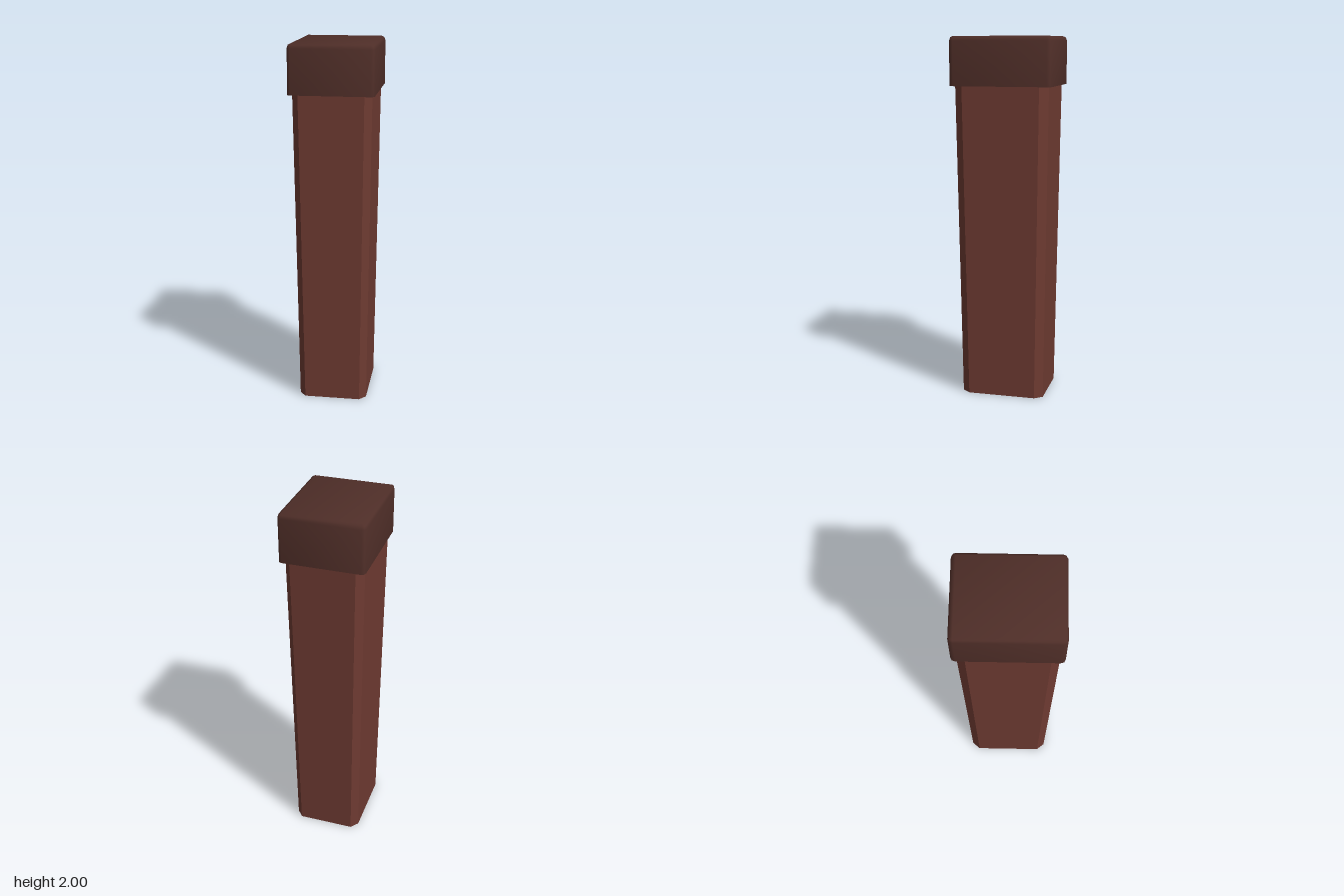
import * as THREE from 'three';
import { toCreasedNormals } from 'three/addons/utils/BufferGeometryUtils.js';

// Rectangle outline with cut or rounded corners: n segments per corner, corner scaled by k
function ring(y, hx, hz, rx, rz, n, k = 1) {
  const points = [];
  for (let c = 0; c < 4; c++) {
    const sx = c === 0 || c === 3 ? 1 : -1;
    const sz = c < 2 ? 1 : -1;
    for (let i = 0; i <= n; i++) {
      const a = (c + i / n) * Math.PI / 2;
      points.push([
        sx * (hx - rx) + Math.cos(a) * rx * k, y,
        sz * (hz - rz) + Math.sin(a) * rz * k,
      ]);
    }
  }
  return points;
}

// Closed solid through a stack of rings, listed bottom to top
function loft(rings, crease) {
  const n = rings[0].length;
  const last = rings.length - 1;
  const index = [];
  for (let r = 0; r < last; r++) {
    for (let i = 0; i < n; i++) {
      const a = r * n + i, b = r * n + (i + 1) % n;
      index.push(a, a + n, b, b, a + n, b + n);
    }
  }
  for (let i = 1; i < n - 1; i++) {
    index.push(0, i, i + 1);
    index.push(last * n, last * n + i + 1, last * n + i);
  }
  const geometry = new THREE.BufferGeometry();
  geometry.setAttribute('position', new THREE.Float32BufferAttribute(rings.flat(2), 3));
  geometry.setIndex(index);
  return toCreasedNormals(geometry, crease);
}

export function createModel() {
  const group = new THREE.Group();
  group.name = 'cappedPost';
  const add = (name, geometry, color) => {
    const mesh = new THREE.Mesh(geometry, new THREE.MeshStandardMaterial({ color }));
    mesh.name = name;
    group.add(mesh);
  };

  // Tapered post with chamfered vertical edges, wider at the top
  add('post', loft([
    ring(0, 0.19, 0.232, 0.035, 0.043, 1),
    ring(1.745, 0.213, 0.259, 0.037, 0.046, 1),
  ], 0.3), 0x6f3b32);

  // Cap with rounded corners and a bevelled top rim
  const cap = (y, k) => ring(y, 0.23, 0.28, 0.02, 0.024, 2, k);
  add('cap', loft([
    cap(1.735, 1), cap(1.975, 1), cap(1.993, Math.SQRT1_2), cap(2, 0),
  ], 1), 0x4f2e28);

  return group;
}
